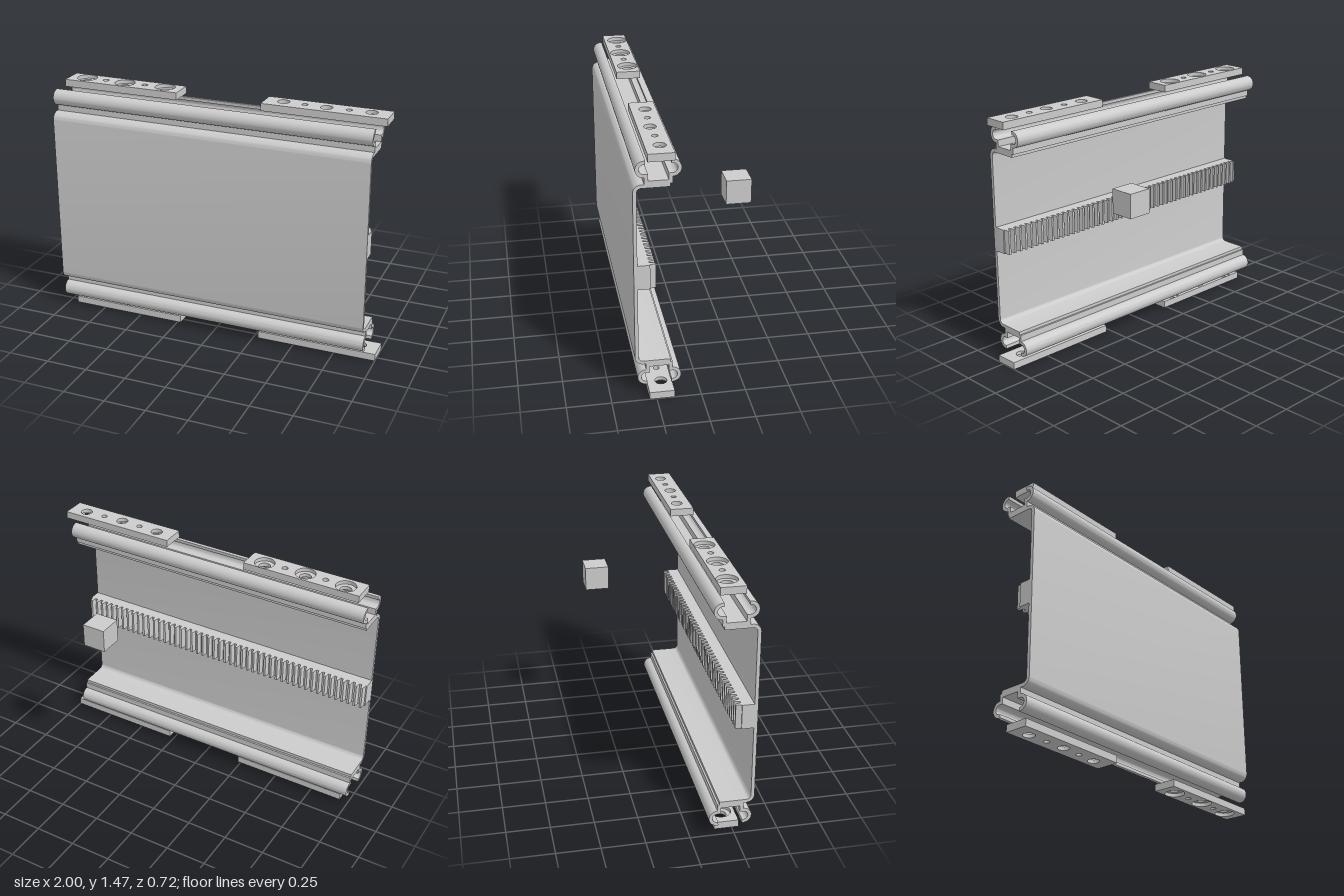
import * as THREE from 'three';
import { toCreasedNormals } from 'three/addons/utils/BufferGeometryUtils.js';

const X0 = -1, X1 = 0.94, H = 1.47, WALL = 0.02, RAIL_Z = 0.226;
const material = new THREE.MeshStandardMaterial({ color: 0xcccccc, side: THREE.DoubleSide });

function addMesh(parent, name, geometry) {
  const mesh = new THREE.Mesh(toCreasedNormals(geometry, 0.5), material);
  mesh.name = name;
  parent.add(mesh);
  return mesh;
}

// Points on an arc, angles in degrees
function arc(cx, cy, r, from, to, steps) {
  return Array.from({ length: steps + 1 }, (_, i) => {
    const a = THREE.MathUtils.degToRad(from + (to - from) * i / steps);
    return new THREE.Vector2(cx + r * Math.cos(a), cy + r * Math.sin(a));
  });
}

// Thickens a (z, y) centre line into a sheet and sweeps it along x
function sheet(path, thickness) {
  const pts = path.map(p => new THREE.Vector2(-p.x, p.y));
  const sides = [[], []];
  pts.forEach((p, i) => {
    const before = p.clone().sub(pts[Math.max(i - 1, 0)]).normalize();
    const after = pts[Math.min(i + 1, pts.length - 1)].clone().sub(p).normalize();
    if (i === 0) before.copy(after);
    if (i === pts.length - 1) after.copy(before);
    const t = before.clone().add(after).normalize();
    const n = new THREE.Vector2(-t.y, t.x);
    const reach = thickness / 2 / t.dot(after);
    sides[0].push(p.clone().addScaledVector(n, reach));
    sides[1].unshift(p.clone().addScaledVector(n, -reach));
  });
  const shape = new THREE.Shape([...sides[0], ...sides[1]]);
  return new THREE.ExtrudeGeometry(shape, { depth: X1 - X0, bevelEnabled: false })
    .rotateY(Math.PI / 2).translate(X0, 0, 0);
}

// Extrudes an (x, -z) shape upwards from y
function slab(shape, y, height) {
  return new THREE.ExtrudeGeometry(shape, { depth: height, bevelEnabled: false, curveSegments: 16 })
    .rotateX(-Math.PI / 2).translate(0, y, 0);
}

// Mounting plate with three main holes and two pin holes; the counterbores face up or down
function mountingPlate(name, x0, x1, y, boreUp) {
  const group = new THREE.Group();
  group.name = name;
  const cx = (x0 + x1) / 2;
  const height = 0.043, half = height / 2;
  [false, true].forEach(upper => {
    const shape = new THREE.Shape([
      new THREE.Vector2(x0, -0.29), new THREE.Vector2(x1, -0.29),
      new THREE.Vector2(x1, -0.15), new THREE.Vector2(x0, -0.15),
    ]);
    const bore = upper === boreUp ? 0.059 : 0.034;
    [[-0.252, 0.211, bore], [0, 0.222, bore], [0.252, 0.211, bore],
      [-0.126, 0.217, 0.017], [0.126, 0.217, 0.017]].forEach(([dx, z, r]) => {
      shape.holes.push(new THREE.Path().absarc(cx + dx, -z, r, 0, Math.PI * 2, true));
    });
    addMesh(group, upper ? 'plateUpperLayer' : 'plateLowerLayer',
      slab(shape, y + (upper ? half : 0), half));
  });
  return group;
}

export function createModel() {
  const model = new THREE.Group();
  model.name = 'railCarriage';

  // Bent front panel with an inward lip at top and bottom
  const lip = [new THREE.Vector2(0.163, 1.267), ...arc(0.315, 1.232, 0.035, 90, 0, 8)];
  const flip = p => new THREE.Vector2(p.x, H - p.y);
  addMesh(model, 'frontPanel', sheet([...lip, ...lip.map(flip).reverse()], WALL));

  // Open rail profiles on both lips: two curled jaws joined by a narrow neck
  const jaw = [...arc(0.074, 1.361, 0.037, 100, -90, 20),
    new THREE.Vector2(0.064, 1.324), new THREE.Vector2(0.064, 1.286)];
  const rail = [
    ...jaw.map(p => new THREE.Vector2(RAIL_Z + p.x, p.y)),
    ...jaw.map(p => new THREE.Vector2(RAIL_Z - p.x, p.y)).reverse(),
  ];
  addMesh(model, 'upperRail', sheet(rail, WALL));
  addMesh(model, 'lowerRail', sheet(rail.map(flip), WALL));

  // Toothed rack along the back of the panel
  const teeth = 49, pitch = (X1 - X0) / teeth, root = -0.272, tip = -0.24;
  const rack = new THREE.Shape();
  rack.moveTo(X1, -0.342);
  for (let i = teeth - 1; i >= 0; i--) {
    const x = X0 + i * pitch;
    rack.lineTo(x + pitch, root);
    rack.lineTo(x + pitch * 0.82, root);
    rack.lineTo(x + pitch * 0.66, tip);
    rack.lineTo(x + pitch * 0.34, tip);
    rack.lineTo(x + pitch * 0.18, root);
  }
  rack.lineTo(X0, root);
  rack.lineTo(X0, -0.342);
  addMesh(model, 'rack', slab(rack, 0.664, 0.144));

  // Separate block behind the panel
  const block = addMesh(model, 'block', new THREE.BoxGeometry(0.143, 0.143, 0.143));
  block.position.set(0.477, 1.007, -0.288);

  // Mounting plates above and below the rails
  [['upper', H - 0.043], ['lower', 0]].forEach(([level, y]) => {
    model.add(mountingPlate(level + 'RightPlate', -0.945, -0.23, y, true));
    model.add(mountingPlate(level + 'LeftPlate', 0.28, 1, y, false));
  });

  return model;
}
